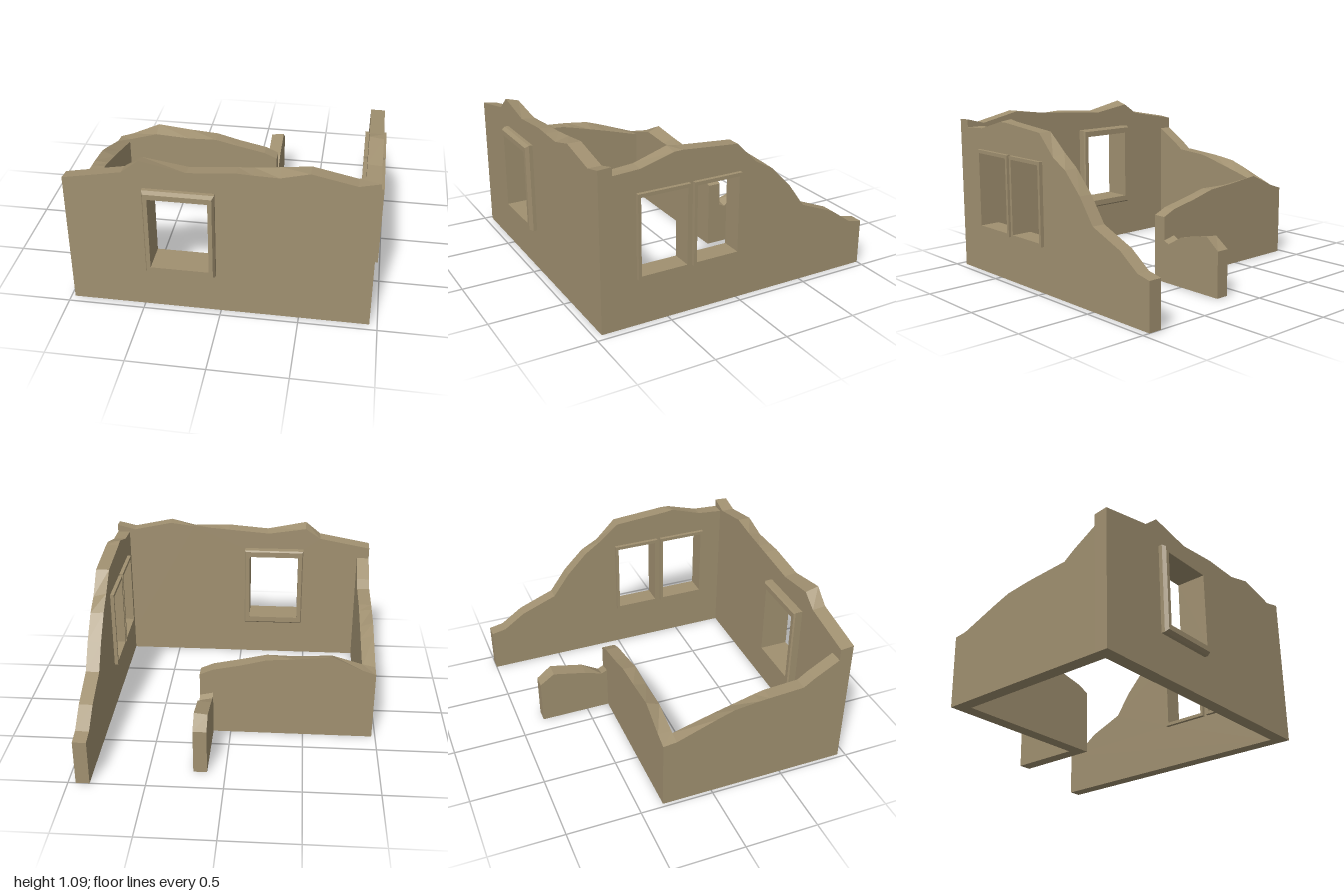
import * as THREE from 'three';

const T = 0.09; // wall thickness
const stone = new THREE.MeshStandardMaterial({ color: 0xa09070, flatShading: true });

// Wall with a broken top edge: profile rows are [u, outer height, inner height].
// Local z = 0 is the inner face, z = T the outer face.
function wallGeometry(profile, openings) {
  const first = profile[0][0], last = profile[profile.length - 1][0];
  const shape = new THREE.Shape();
  shape.moveTo(first, 0);
  shape.lineTo(last, 0);
  [...profile].reverse().forEach(([u, h]) => shape.lineTo(u, h));
  for (const o of openings) {
    // cut midway inside the frame band, so the frame hides the edge
    const m = 0.01;
    const hole = new THREE.Path();
    hole.moveTo(o.u0 + m, o.y0 + m);
    hole.lineTo(o.u0 + m, o.y1 - m);
    hole.lineTo(o.u1 - m, o.y1 - m);
    hole.lineTo(o.u1 - m, o.y0 + m);
    shape.holes.push(hole);
  }
  const geo = new THREE.ExtrudeGeometry(shape, { depth: T, bevelEnabled: false });
  // shift the inner top edge to its own heights
  const p = geo.attributes.position;
  for (let i = 0; i < p.count; i++) {
    if (p.getZ(i) > T / 2) continue;
    const row = profile.find(([u, h]) => Math.abs(p.getX(i) - u) < 1e-4 && Math.abs(p.getY(i) - h) < 1e-4);
    if (row) p.setY(i, row[2] ?? row[1]);
  }
  geo.computeVertexNormals();
  return geo;
}

// Mitred window frame: a section swept round four corners.
// Section points are [t, z], t running from the outer (0) to the inner (1) rectangle.
function frameGeometry({ u0, u1, y0, y1, insetU, insetY, section }) {
  const n = section.length, pos = [], index = [];
  for (const [sx, sy] of [[0, 0], [1, 0], [1, 1], [0, 1]]) {
    for (const [t, z] of section) {
      pos.push(sx ? u1 - t * insetU : u0 + t * insetU, sy ? y1 - t * insetY : y0 + t * insetY, z);
    }
  }
  for (let c = 0; c < 4; c++) {
    for (let k = 0; k < n; k++) {
      const a = c * n + k, b = c * n + (k + 1) % n;
      const d = ((c + 1) % 4) * n + k, e = ((c + 1) % 4) * n + (k + 1) % n;
      index.push(a, d, e, a, e, b);
    }
  }
  const geo = new THREE.BufferGeometry();
  geo.setAttribute('position', new THREE.Float32BufferAttribute(pos, 3));
  geo.setIndex(index);
  const flat = geo.toNonIndexed();
  flat.computeVertexNormals();
  return flat;
}

function buildWall(name, { profile, windows = [], turn = 0, x = 0, z = 0 }) {
  const group = new THREE.Group();
  group.name = name;
  const wall = new THREE.Mesh(wallGeometry(profile, windows), stone);
  wall.name = name + 'Masonry';
  group.add(wall);
  for (const w of windows) {
    const frame = new THREE.Mesh(frameGeometry(w), stone);
    frame.name = 'windowFrame';
    group.add(frame);
  }
  group.rotation.y = turn * Math.PI / 2;
  group.position.set(x, 0, z);
  return group;
}

export function createModel() {
  const model = new THREE.Group();
  model.name = 'ruinedHouse';

  // Front wall with one large chamfered window
  model.add(buildWall('frontWall', {
    z: 0.86,
    profile: [
      [-0.975, 0.92, 0.91], [-0.6, 0.99, 0.98], [-0.49, 1.08, 1.055], [-0.2, 1.02, 1.01],
      [0.1, 1.045, 1.035], [0.2, 1.04, 1.04], [0.36, 1.035, 1.058], [0.54, 1.08, 1.08],
      [0.82, 1.02, 1.02], [0.95, 1.05, 1.055],
    ],
    windows: [{
      u0: -0.475, u1: -0.03, y0: 0.283, y1: 0.89, insetU: 0.037, insetY: 0.05,
      section: [[0, -0.05], [0, 0.115], [0.3, 0.14], [1, 0.14], [1, -0.06], [0.2, -0.06]],
    }],
  }));

  // Long right wall with a pair of plain windows, stepping down to the back
  const pair = { y0: 0.313, y1: 0.865, insetU: 0.02, insetY: 0.023,
    section: [[0, -0.025], [0, 0.115], [1, 0.115], [1, -0.025]] };
  model.add(buildWall('rightWall', {
    turn: 1, x: 0.86,
    profile: [
      [-0.86, 1.0, 1.0], [-0.68, 1.01, 1.015], [-0.46, 1.073, 1.085], [-0.4, 1.075, 1.075],
      [-0.02, 1.045, 1.045], [0.12, 0.905, 0.93], [0.24, 0.84, 0.845], [0.38, 0.7, 0.7],
      [0.5, 0.535, 0.535], [0.75, 0.435, 0.435], [0.9, 0.33, 0.33], [1.0, 0.31, 0.31],
    ],
    windows: [{ ...pair, u0: -0.71, u1: -0.357 }, { ...pair, u0: -0.33, u1: 0.005 }],
  }));

  // Left wall
  model.add(buildWall('leftWall', {
    turn: -1, x: -0.885,
    profile: [
      [-0.25, 0.5, 0.5], [0.02, 0.6, 0.575], [0.14, 0.64, 0.605], [0.31, 0.66, 0.65],
      [0.38, 0.665, 0.665], [0.62, 0.68, 0.68], [0.69, 0.73, 0.73], [0.86, 0.83, 0.83],
    ],
  }));

  // Low back wall
  model.add(buildWall('backWall', {
    turn: 2, z: -0.25,
    profile: [
      [-0.21, 0.45, 0.45], [-0.12, 0.49, 0.49], [0.07, 0.53, 0.53], [0.24, 0.575, 0.57],
      [0.44, 0.59, 0.565], [0.68, 0.615, 0.58], [0.885, 0.52, 0.52], [0.975, 0.49, 0.5],
    ],
  }));

  // Short return stub behind the back wall
  model.add(buildWall('backStub', {
    turn: 1, x: 0.12,
    profile: [
      [0.34, 0.29, 0.31], [0.38, 0.27, 0.29], [0.5, 0.34, 0.33],
      [0.73, 0.39, 0.38], [0.83, 0.31, 0.31],
    ],
  }));

  return model;
}
